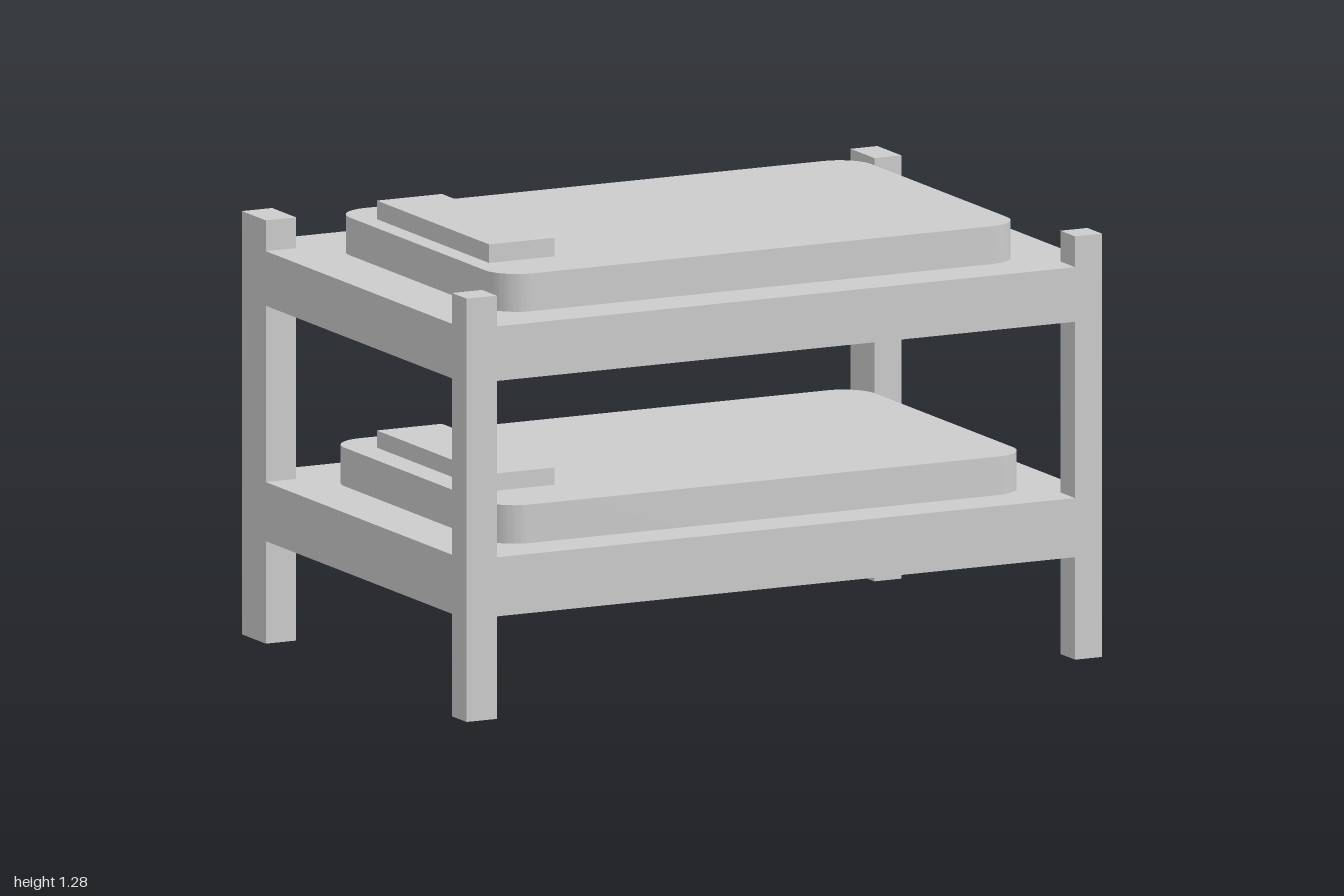
import * as THREE from 'three';
import { toCreasedNormals } from 'three/addons/utils/BufferGeometryUtils.js';

const material = new THREE.MeshStandardMaterial({ color: 0xcccccc });

function add(group, name, geometry) {
  const mesh = new THREE.Mesh(geometry, material);
  mesh.name = name;
  group.add(mesh);
}

// Box given by its extents on each axis
function block([x0, x1], [y0, y1], [z0, z1]) {
  return new THREE.BoxGeometry(x1 - x0, y1 - y0, z1 - z0)
    .translate((x0 + x1) / 2, (y0 + y1) / 2, (z0 + z1) / 2);
}

// Upright slab from a plan outline drawn in (x, -z)
function slab(shape, [y0, y1]) {
  return new THREE.ExtrudeGeometry(shape, { depth: y1 - y0, bevelEnabled: false, curveSegments: 10 })
    .rotateX(-Math.PI / 2).translate(0, y0, 0);
}

// Rounded rectangle plan
function roundedPlan([x0, x1], [z0, z1], r) {
  const a = -z1, b = -z0, q = Math.PI / 2;
  const s = new THREE.Shape();
  s.absarc(x1 - r, a + r, r, -q, 0);
  s.absarc(x1 - r, b - r, r, 0, q);
  s.absarc(x0 + r, b - r, r, q, 2 * q);
  s.absarc(x0 + r, a + r, r, 2 * q, 3 * q);
  s.closePath();
  return s;
}

export function createModel() {
  const bed = new THREE.Group();
  bed.name = 'bunkBed';

  // Inner faces of the corner posts
  const X = 1, Z = 0.69, xr = -0.905, xl = 0.915, zf = 0.6, zb = -0.543;

  // Posts, the back pair deeper than the front
  for (const [side, xs] of [['Right', [-X, xr]], ['Left', [xl, X]]]) {
    add(bed, `front${side}Post`, block(xs, [0, 1.21], [zf, Z]));
    add(bed, `back${side}Post`, block(xs, [0, 1.21], [-Z, zb]));
  }

  // Deck plan, notched at the corners to fit around the posts
  const deckPlan = new THREE.Shape([
    [xr, -Z], [xl, -Z], [xl, -zf], [X, -zf], [X, -zb], [xl, -zb],
    [xl, Z], [xr, Z], [xr, -zb], [-X, -zb], [-X, -zf], [xr, -zf],
  ].map(([x, y]) => new THREE.Vector2(x, y)));

  // Each bunk: deck, mattress and pillow
  const bunks = [
    { name: 'lower', deck: [0.293, 0.462], top: 0.572, x: [-0.83, 0.84], z: [-0.491, 0.554], pillow: [0.577, 0.626] },
    { name: 'upper', deck: [0.966, 1.122], top: 1.23, x: [-0.817, 0.825], z: [-0.485, 0.545], pillow: [1.23, 1.283] },
  ];
  for (const b of bunks) {
    const bunk = new THREE.Group();
    bunk.name = `${b.name}Bunk`;
    add(bunk, 'deck', slab(deckPlan, b.deck));
    add(bunk, 'mattress', toCreasedNormals(slab(roundedPlan(b.x, b.z, 0.1), [b.deck[1], b.top]), 0.6));
    add(bunk, 'pillow', block([-0.76, -0.555], b.pillow, [-0.33, 0.36]));
    bed.add(bunk);
  }
  return bed;
}
